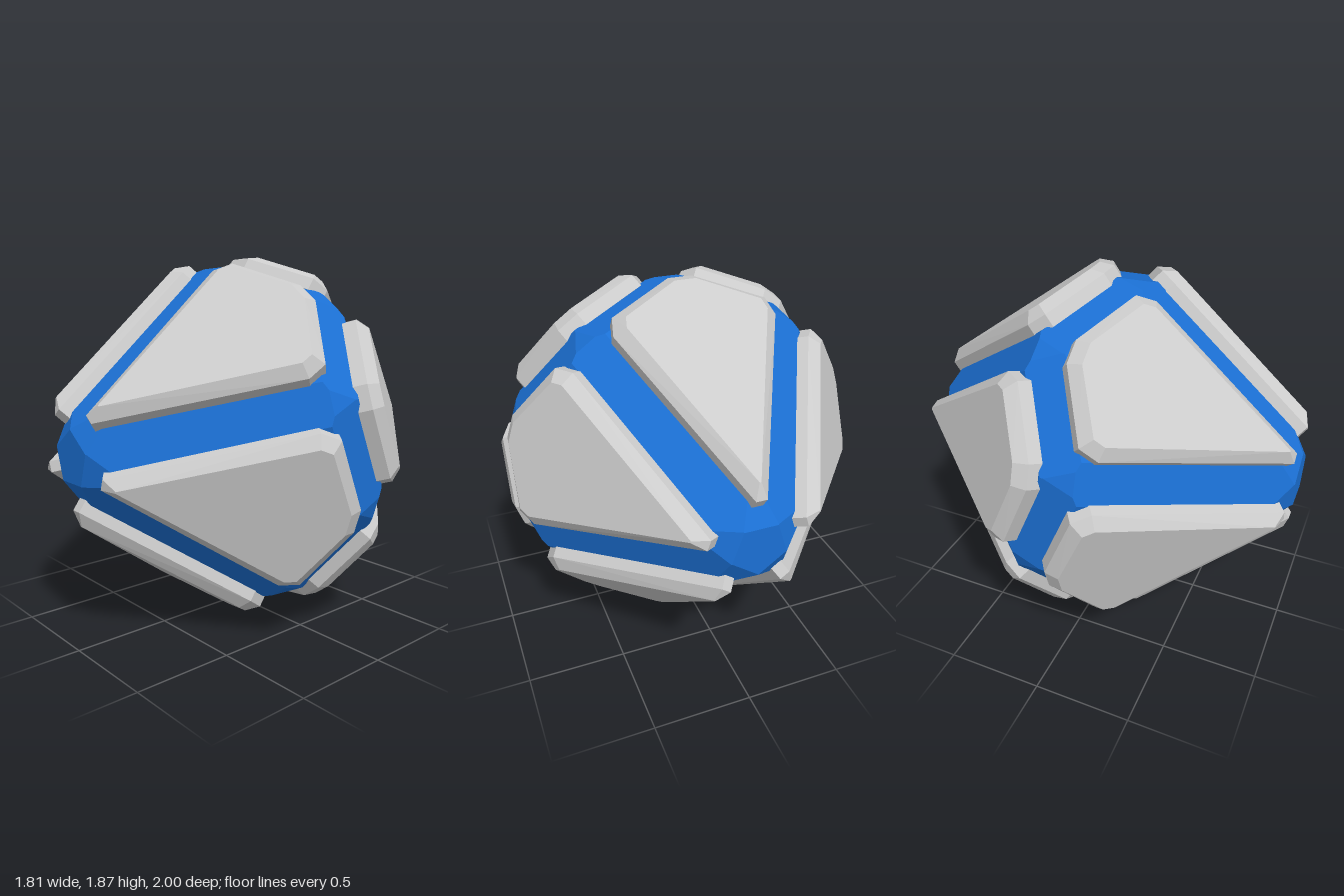
import * as THREE from 'three';
import { ConvexGeometry } from 'three/addons/geometries/ConvexGeometry.js';

const CENTRE_Y = 0.937;
const SIN = 0.8155, COS = 0.5787; // tilt of a die face away from the z axis
const STEP = (Math.PI * 2) / 5;

// Unit normal at an angle around z, with the given radial and axial parts
function direction(angle, radial, axial) {
  return new THREE.Vector3(radial * Math.cos(angle), radial * Math.sin(angle), axial).normalize();
}

// Corner points of the convex solid enclosed by a set of planes
function cornersOf(planes) {
  const points = [];
  const cross = new THREE.Vector3();
  for (let i = 0; i < planes.length; i++)
    for (let j = i + 1; j < planes.length; j++)
      for (let k = j + 1; k < planes.length; k++) {
        const [a, b, c] = [planes[i], planes[j], planes[k]];
        const det = a.n.dot(cross.crossVectors(b.n, c.n));
        if (Math.abs(det) < 1e-5) continue;
        const p = new THREE.Vector3().crossVectors(b.n, c.n).multiplyScalar(a.d)
          .addScaledVector(new THREE.Vector3().crossVectors(c.n, a.n), b.d)
          .addScaledVector(new THREE.Vector3().crossVectors(a.n, b.n), c.d)
          .divideScalar(det);
        if (planes.some((q) => q.n.dot(p) > q.d + 1e-6)) continue;
        if (points.some((q) => q.distanceTo(p) < 0.002)) continue;
        points.push(p);
      }
  return points;
}

// Ten-sided core with bevelled edges and blunted corners
function coreGeometry() {
  const planes = [];
  for (const side of [1, -1]) {
    const add = (angle, radial, axial, d) =>
      planes.push({ n: direction(side * angle, radial, side * axial), d });
    add(0, 0, 1, 1.0); // pole
    for (let i = 0; i < 5; i++) {
      const face = -Math.PI / 2 + i * STEP;
      const edge = Math.PI / 2 + i * STEP;
      add(face, SIN, COS, 0.72);       // main face
      add(face, 0.54, 0.84, 0.902);    // facet around the pole
      add(edge, 0.752, 0.659, 0.765);  // edge running to the pole
      add(edge, 0.99, 0.134, 0.885);   // corner on the belt
    }
  }
  for (let i = 0; i < 10; i++) // zigzag belt edges
    planes.push({ n: direction((i * Math.PI) / 5, 1, 0), d: 0.846 });
  return new ConvexGeometry(cornersOf(planes));
}

// Kite-shaped plate with straight walls and a chamfered rim
function plateGeometry() {
  const outer = [[0.027, -0.66], [0.405, 0.23], [0.385, 0.331], [0.06, 0.51]];
  const inner = [[0.004, -0.595], [0.348, 0.236], [0.336, 0.295], [0.053, 0.455]];
  const layers = [[outer, 0.705], [outer, 0.772], [inner, 0.823]];
  const points = [];
  for (const [ring, depth] of layers)
    for (const [u, v] of ring)
      for (const s of [1, -1])
        points.push(new THREE.Vector3(s * u, -(SIN * depth + COS * v), COS * depth - SIN * v));
  return new ConvexGeometry(points);
}

export function createModel() {
  const model = new THREE.Group();
  model.name = 'tenSidedDie';
  const blue = new THREE.MeshStandardMaterial({ color: 0x1b70d4, flatShading: true });
  const grey = new THREE.MeshStandardMaterial({ color: 0xcccccc, flatShading: true });

  const core = new THREE.Mesh(coreGeometry(), blue);
  core.name = 'core';
  core.position.y = CENTRE_Y;
  model.add(core);

  // Five plates on the front, five on the back turned half over
  const geometry = plateGeometry();
  for (const name of ['front', 'back']) {
    const half = new THREE.Group();
    half.name = name + 'Plates';
    half.position.y = CENTRE_Y;
    if (name === 'back') half.rotation.x = Math.PI;
    for (let i = 0; i < 5; i++) {
      const plate = new THREE.Mesh(geometry, grey);
      plate.name = name + 'Plate' + (i + 1);
      plate.rotation.z = i * STEP;
      half.add(plate);
    }
    model.add(half);
  }
  return model;
}
